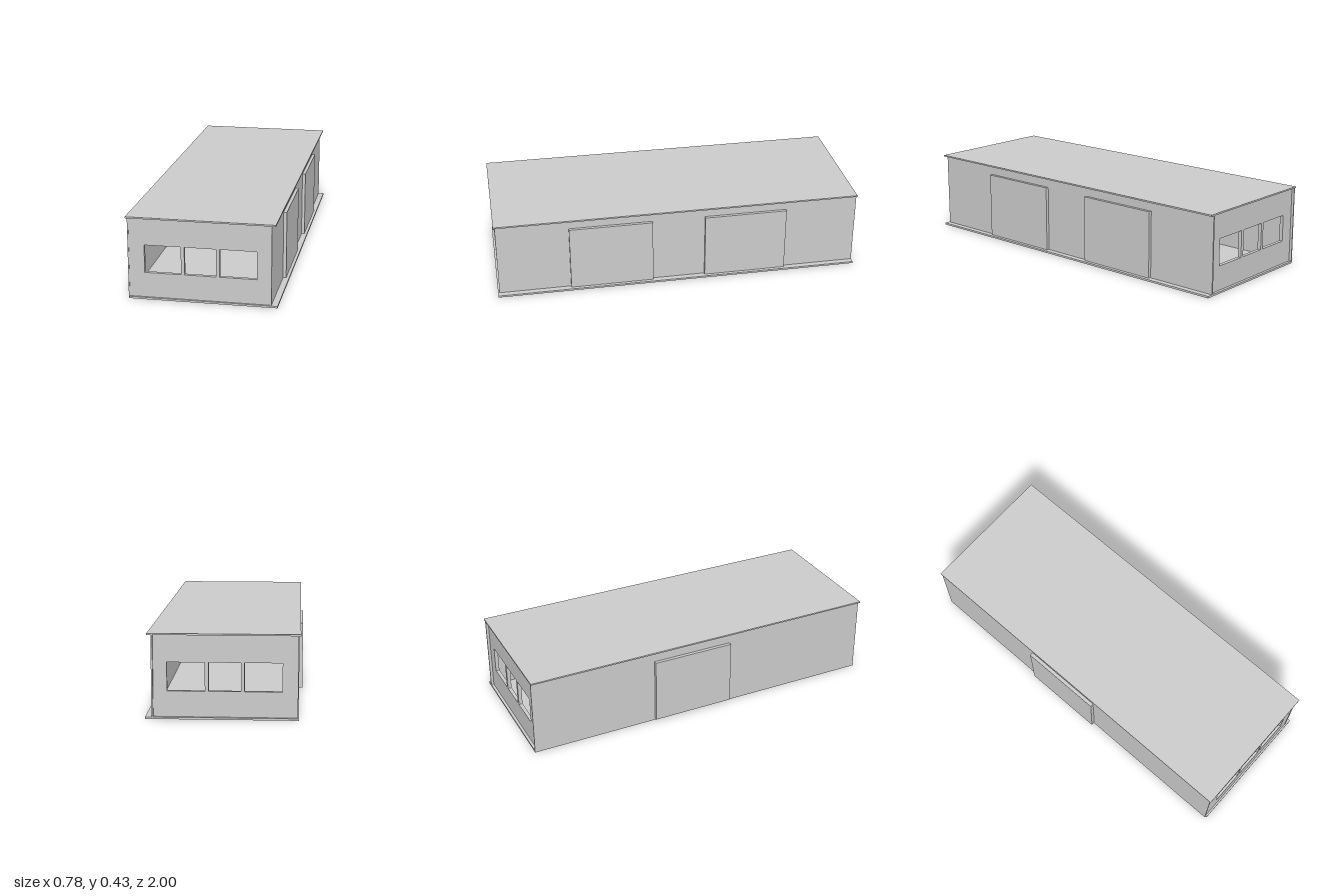
import * as THREE from 'three';

const grey = new THREE.MeshStandardMaterial({ color: 0xcccccc, flatShading: true });

// Box given by its minimum and maximum on each axis
function slab(name, x0, x1, y0, y1, z0, z1) {
  const mesh = new THREE.Mesh(new THREE.BoxGeometry(x1 - x0, y1 - y0, z1 - z0), grey);
  mesh.name = name;
  mesh.position.set((x0 + x1) / 2, (y0 + y1) / 2, (z0 + z1) / 2);
  return mesh;
}

function rectangle(path, x0, x1, y0, y1) {
  path.moveTo(x0, y0);
  path.lineTo(x1, y0);
  path.lineTo(x1, y1);
  path.lineTo(x0, y1);
  path.closePath();
  return path;
}

// End wall with three window openings, extruded along z
function endWall(name, z0, depth, shift) {
  const shape = rectangle(new THREE.Shape(), -0.366, 0.35, 0.01, 0.423);
  for (const [a, b] of [[-0.287, -0.1], [-0.082, 0.078], [0.097, 0.285]]) {
    shape.holes.push(rectangle(new THREE.Path(), a + shift, b + shift, 0.14, 0.285));
  }
  const mesh = new THREE.Mesh(new THREE.ExtrudeGeometry(shape, { depth, bevelEnabled: false }), grey);
  mesh.name = name;
  mesh.position.z = z0;
  return mesh;
}

export function createModel() {
  const group = new THREE.Group();
  group.name = 'building';

  // Floor and roof plates
  group.add(slab('floor', -0.366, 0.39, 0, 0.01, -1, 1));
  group.add(slab('roof', -0.38, 0.378, 0.423, 0.431, -1, 1));

  // Long side walls
  group.add(slab('leftWall', 0.35, 0.358, 0.01, 0.423, -1, 0.992));
  group.add(slab('rightWall', -0.372, -0.366, 0, 0.423, -1, 0.992));

  // Windowed end walls, the back one set in
  group.add(endWall('frontWall', 0.97, 0.02, 0));
  group.add(endWall('backWall', -0.985, 0.02, -0.004));

  // Sliding doors hung outside the walls
  for (const z of [0.145, -0.6]) {
    group.add(slab('leftDoor', 0.358, 0.375, 0.012, 0.373, z, z + 0.455));
  }
  group.add(slab('rightDoor', -0.391, -0.372, 0.012, 0.373, -0.3, 0.155));

  return group;
}
